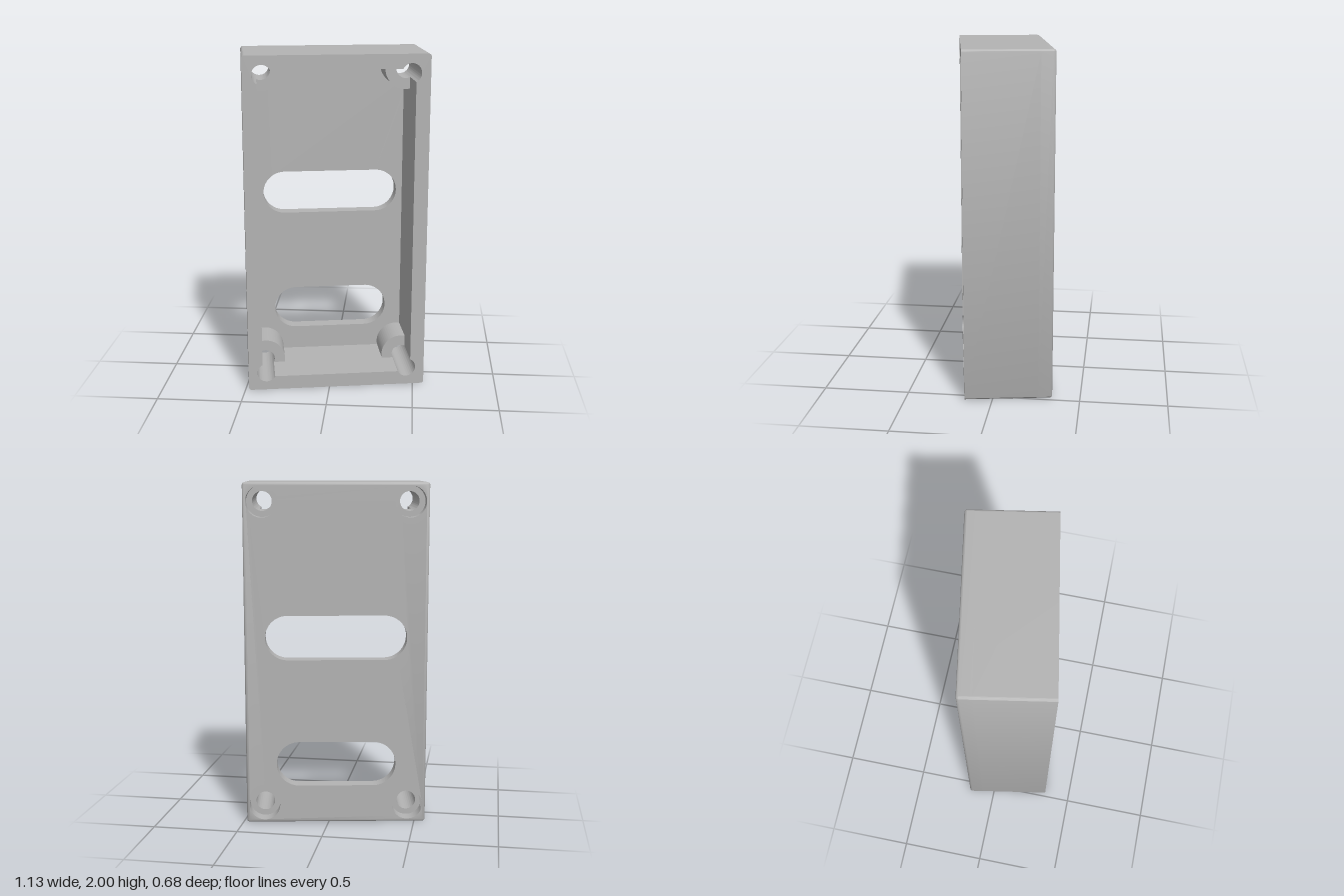
import * as THREE from 'three';
import { toCreasedNormals } from 'three/addons/utils/BufferGeometryUtils.js';

const HX = 0.53, HY = 1, HZ = 0.254;      // half sizes of the case
const FILLET = 0.016, WALL = 0.083, PLATE = 0.082;
const IX = HX - WALL, IY = HY - WALL;     // half sizes of the cavity
const GAP = 0.025;                        // screw axis to cavity wall
const CX = IX - GAP, CY = IY - GAP;       // screw axis
const SCREW_R = 0.056, BORE_R = 0.09, BOSS_R = 0.12, BOSS_H = 0.217;
const QUARTER = Math.PI / 2;

// corners in counter-clockwise order, starting at +x +y
const corners = [[1, 1], [-1, 1], [-1, -1], [1, -1]];

function outline() {
  const s = new THREE.Shape();
  corners.forEach(([sx, sy], k) =>
    s.absarc(sx * (HX - FILLET), sy * (HY - FILLET), FILLET, k * QUARTER, (k + 1) * QUARTER, false));
  s.closePath();
  return s;
}

// long slot with round ends
function slot(y, halfLength, r) {
  const p = new THREE.Path();
  p.absarc(halfLength - r, y, r, -QUARTER, QUARTER, false);
  p.absarc(-halfLength + r, y, r, QUARTER, 3 * QUARTER, false);
  p.closePath();
  return p;
}

function extrude(shape, depth, z) {
  const g = new THREE.ExtrudeGeometry(shape, { depth, bevelEnabled: false, curveSegments: 28 });
  g.translate(0, 0, z);
  return toCreasedNormals(g, 0.6);
}

// back plate with slots and counterbores, its rear rim rounded
function backPlateGeometry() {
  const s = outline();
  s.holes.push(slot(1.113 - HY, 0.41, 0.13), slot(0.36 - HY, 0.35, 0.133));
  for (const [sx, sy] of corners) {
    s.holes.push(new THREE.Path().absarc(sx * CX, sy * CY, BORE_R, 0, Math.PI * 2, false));
  }
  const steps = 6;
  const g = new THREE.ExtrudeGeometry(s, { depth: 1, steps, bevelEnabled: false, curveSegments: 28 });
  const p = g.attributes.position;
  for (let i = 0; i < p.count; i++) {
    const step = Math.round(p.getZ(i) * steps);
    const a = Math.min(step / (steps - 1), 1) * QUARTER;
    const x = p.getX(i), y = p.getY(i);
    const kx = THREE.MathUtils.clamp(x, FILLET - HX, HX - FILLET);
    const ky = THREE.MathUtils.clamp(y, FILLET - HY, HY - FILLET);
    const z = step === steps ? PLATE : FILLET * (1 - Math.cos(a));
    p.setXYZ(i, kx + (x - kx) * Math.sin(a), ky + (y - ky) * Math.sin(a), z - HZ);
  }
  return toCreasedNormals(g, 0.6);
}

// side walls, with a round screw groove in every inner corner
function wallsGeometry() {
  const s = outline();
  const cavity = new THREE.Path();
  const a = Math.asin(GAP / SCREW_R);
  corners.forEach(([sx, sy], k) =>
    cavity.absarc(sx * CX, sy * CY, SCREW_R, (k - 1) * QUARTER + a, (k + 2) * QUARTER - a, false));
  cavity.closePath();
  s.holes.push(cavity);
  return extrude(s, 2 * HZ - PLATE, PLATE - HZ);
}

// screw boss filling one cavity corner around the screw hole
function bossGeometry([sx, sy], k) {
  const s = new THREE.Shape();
  const a = Math.asin(GAP / BOSS_R), b = Math.asin(GAP / SCREW_R);
  const from = (k - 1) * QUARTER, to = (k + 2) * QUARTER;
  s.absarc(sx * CX, sy * CY, BOSS_R, from + a, to - a, true);
  s.absarc(sx * CX, sy * CY, SCREW_R, to - b, from + b, false);
  s.closePath();
  return extrude(s, BOSS_H, PLATE - HZ);
}

export function createModel() {
  const grey = new THREE.MeshStandardMaterial({ color: 0xb3b3b3 });
  grey.name = 'light grey';
  const box = new THREE.Group();
  box.name = 'enclosure';
  const add = (name, geometry) => {
    const m = new THREE.Mesh(geometry, grey);
    m.name = name;
    box.add(m);
  };
  add('backPlate', backPlateGeometry());
  add('sideWalls', wallsGeometry());
  corners.forEach((c, k) => add('screwBoss' + (k + 1), bossGeometry(c, k)));

  // the case stands turned a little to its left
  box.rotation.y = THREE.MathUtils.degToRad(10);
  box.position.y = HY;
  const model = new THREE.Group();
  model.name = 'model';
  model.add(box);
  return model;
}
